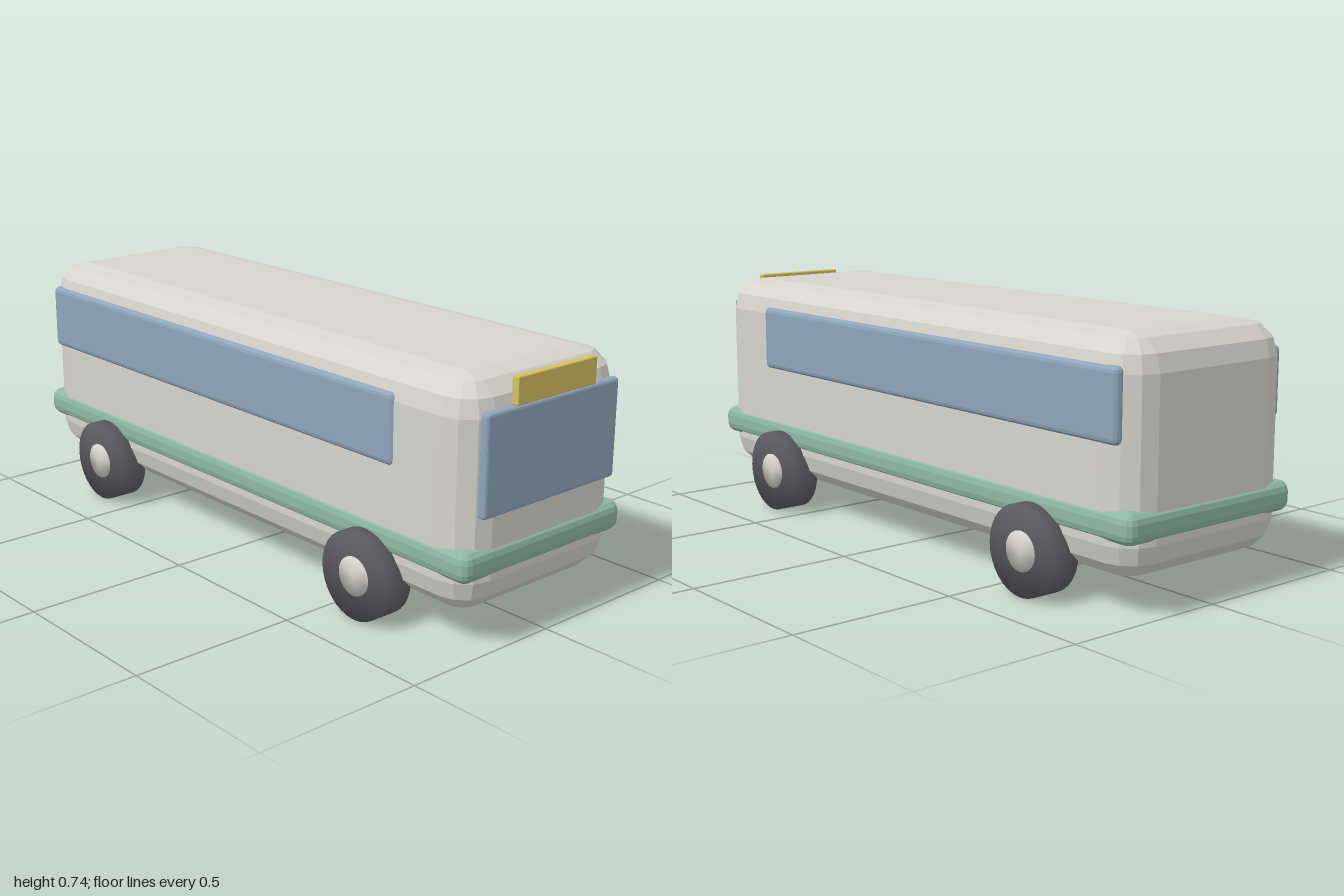
import * as THREE from 'three';
import { mergeVertices } from 'three/addons/utils/BufferGeometryUtils.js';
import { ConvexGeometry } from 'three/addons/geometries/ConvexGeometry.js';

const material = (name, color) => {
  const m = new THREE.MeshStandardMaterial({ color });
  m.name = name;
  return m;
};

// Box between two corners, every edge bevelled in three facets of 30 degrees
function bevelBox([x0, y0, z0], [x1, y1, z1], r) {
  const points = [];
  const step = Math.PI / 6;
  for (const sx of [-1, 1]) for (const sy of [-1, 1]) for (const sz of [-1, 1]) {
    for (let i = 0; i <= 3; i++) for (let j = 0; j <= (i === 3 ? 0 : 3); j++) {
      const ring = r * Math.cos(i * step);
      points.push(new THREE.Vector3(
        (x0 + x1) / 2 + sx * ((x1 - x0) / 2 - r + ring * Math.cos(j * step)),
        (y0 + y1) / 2 + sy * ((y1 - y0) / 2 - r + r * Math.sin(i * step)),
        (z0 + z1) / 2 + sz * ((z1 - z0) / 2 - r + ring * Math.sin(j * step))));
    }
  }
  return new ConvexGeometry(points);
}

// Disc along z with normals blended over its rim
function softDisc(radius, depth) {
  const g = new THREE.CylinderGeometry(radius, radius, depth, 32).rotateX(Math.PI / 2);
  g.deleteAttribute('normal');
  g.deleteAttribute('uv');
  const soft = mergeVertices(g, 1e-4);
  soft.computeVertexNormals();
  return soft;
}

export function createModel() {
  const group = new THREE.Group();
  group.name = 'bus';
  const cream = material('cream paint', 0xd6d4cc);
  const glass = material('blue glass', 0x8fa5ba);
  const green = material('green trim', 0x8eb8a4);
  const yellow = material('yellow sign', 0xd6c062);
  const rubber = material('dark rubber', 0x5a595f);

  const add = (name, geometry, mat, parent = group) => {
    const mesh = new THREE.Mesh(geometry, mat);
    mesh.name = name;
    parent.add(mesh);
    return mesh;
  };

  // Shell and the belt bumper, which stands out most at the rounded corners
  add('body', bevelBox([-0.99, 0.094, -0.31], [0.98, 0.742, 0.31], 0.1), cream);
  add('bumper', bevelBox([-0.999, 0.205, -0.318], [0.989, 0.293, 0.318], 0.03), green);

  // Glazing and destination board
  add('leftSideWindow', bevelBox([-0.943, 0.46, -0.318], [0.714, 0.664, -0.28], 0.017), glass);
  add('rightSideWindow', bevelBox([-0.943, 0.46, 0.28], [0.714, 0.664, 0.318], 0.017), glass);
  add('windscreen', bevelBox([0.968, 0.378, -0.26], [0.996, 0.663, 0.26], 0.01), glass);
  add('destinationBoard', bevelBox([0.977, 0.664, -0.155], [1.0, 0.742, 0.155], 0.004), yellow);

  // Four wheels, each with a hub showing slightly on both faces
  const tyre = softDisc(0.13, 0.09);
  const hub = softDisc(0.057, 0.098);
  for (const x of [-0.632, 0.617]) for (const side of [-1, 1]) {
    const wheel = new THREE.Group();
    wheel.name = (x > 0 ? 'front' : 'rear') + (side > 0 ? 'Right' : 'Left') + 'Wheel';
    wheel.position.set(x, 0.13, side * 0.313);
    add('tyre', tyre, rubber, wheel);
    add('hub', hub, cream, wheel);
    group.add(wheel);
  }
  return group;
}
